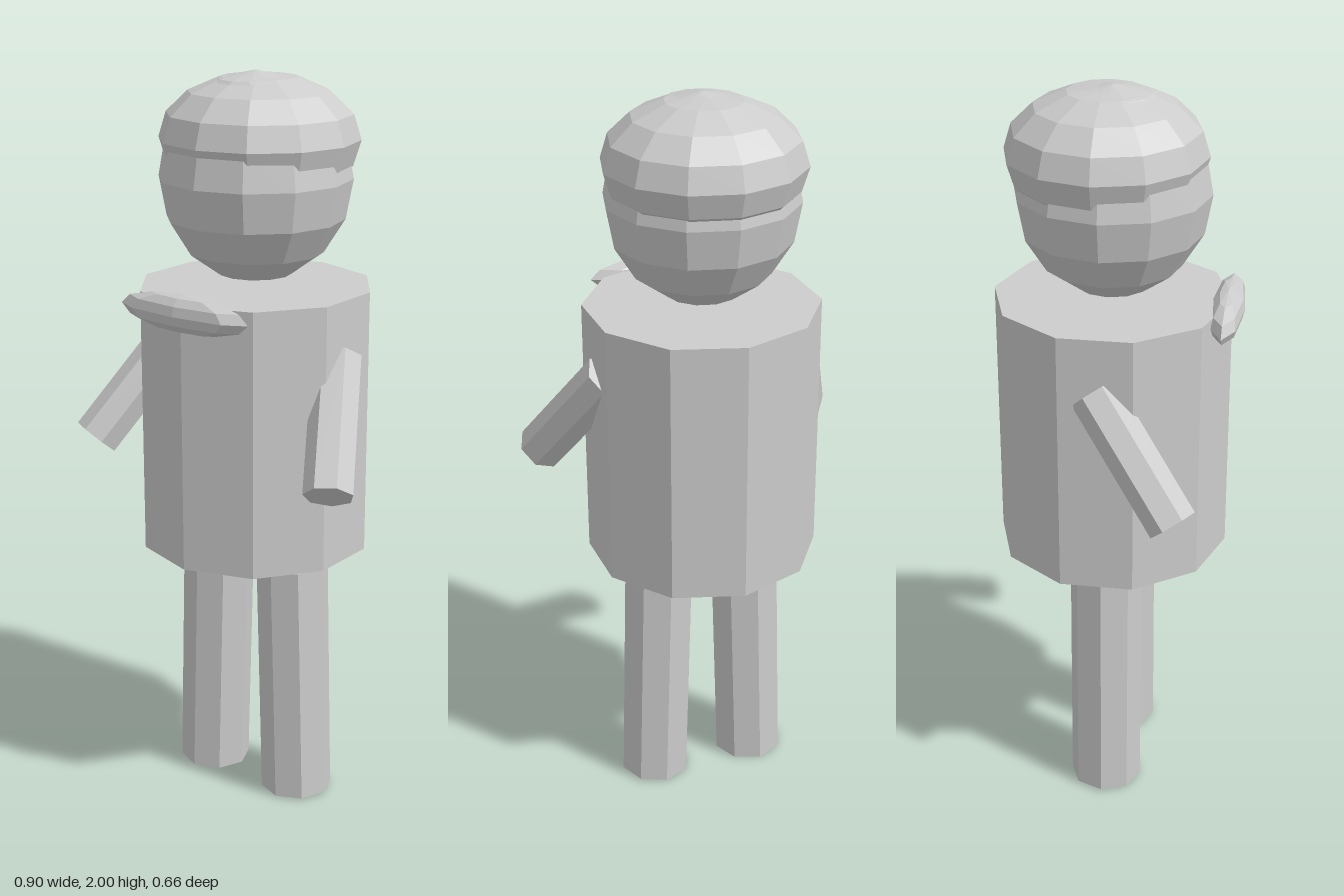
import * as THREE from 'three';

export function createModel() {
  const model = new THREE.Group();
  const grey = new THREE.MeshStandardMaterial({ color: 0xcccccc, flatShading: true });
  grey.name = 'plain grey';

  const add = (name, geometry) => {
    const mesh = new THREE.Mesh(geometry, grey);
    mesh.name = name;
    model.add(mesh);
    return mesh;
  };

  // Low-poly ellipsoid
  const blob = (name, radii, centre, segments, rings) => {
    const geometry = new THREE.SphereGeometry(1, segments, rings);
    geometry.scale(...radii);
    add(name, geometry).position.set(...centre);
  };

  // Straight prism running between two points
  const limb = (name, top, bottom, radius, sides) => {
    const a = new THREE.Vector3(...top);
    const b = new THREE.Vector3(...bottom);
    const mesh = add(name, new THREE.CylinderGeometry(radius, radius, a.distanceTo(b), sides));
    mesh.position.copy(a).add(b).multiplyScalar(0.5);
    mesh.quaternion.setFromUnitVectors(new THREE.Vector3(0, 1, 0), a.sub(b).normalize());
  };

  // Ten-sided body
  add('torso', new THREE.CylinderGeometry(0.313, 0.313, 0.715, 10)).position.set(0, 1.087, -0.017);

  // Head with a flattened cap set slightly back, and a scarf at the collar
  blob('head', [0.255, 0.273, 0.255], [0, 1.727, -0.016], 12, 8);
  blob('cap', [0.265, 0.17, 0.262], [0, 1.825, -0.032], 12, 8);
  blob('scarf', [0.205, 0.05, 0.044], [0, 1.423, 0.285], 8, 6);

  // Arms reaching forward and legs splayed a little
  for (const [side, s] of [['left', 1], ['right', -1]]) {
    limb(`${side}Arm`, [s * 0.26, 1.283, -0.025], [s * 0.39, 0.993, 0.195], 0.066, 7);
    limb(`${side}Leg`, [s * 0.1275, 0.682, -0.016], [s * 0.1475, 0.003, -0.016], 0.099, 8);
  }

  return model;
}
